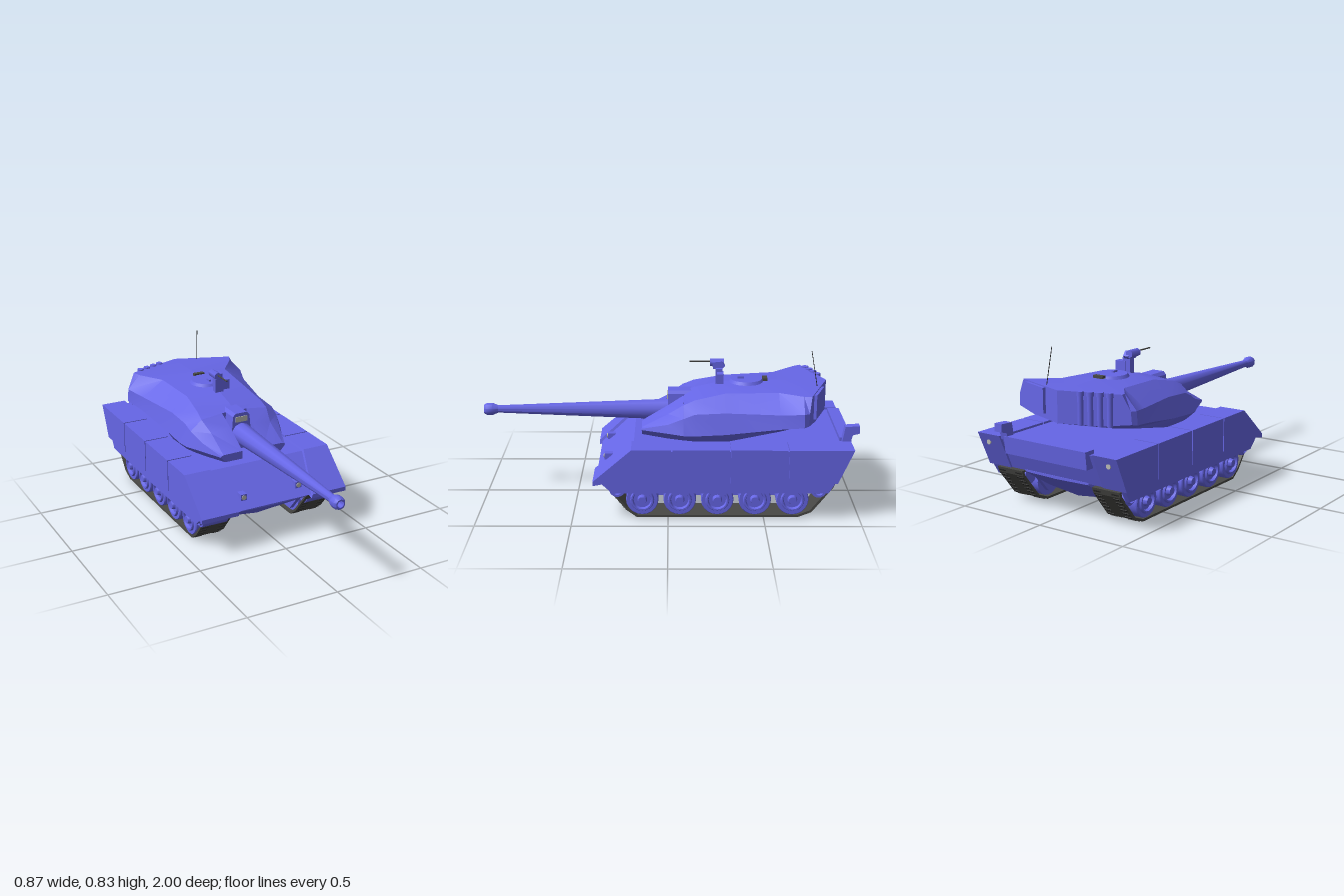
import * as THREE from 'three';
import { toCreasedNormals } from 'three/addons/utils/BufferGeometryUtils.js';

const mat = (color, flat = false) => new THREE.MeshStandardMaterial({ color, flatShading: flat, side: THREE.DoubleSide });
const paint = mat(0x6666e6), dark = mat(0x484845), glass = mat(0xbbbbb5), slot = mat(0x262626);

export function createModel() {
  const model = new THREE.Group();

  const add = (name, geo, material = paint, parent = model) => {
    const mesh = new THREE.Mesh(geo, material);
    mesh.name = name;
    parent.add(mesh);
    return mesh;
  };
  const box = (name, w, h, d, x, y, z, material, parent) => {
    const m = add(name, new THREE.BoxGeometry(w, h, d), material, parent);
    m.position.set(x, y, z);
    return m;
  };
  const shapeOf = (pts, Type = THREE.Shape) => new Type(pts.map(([z, y]) => new THREE.Vector2(-z, y)));

  // side profile of [z, y] points, extruded from x0 to x1
  const slab = (pts, x0, x1, hole) => {
    const shape = shapeOf(pts);
    if (hole) shape.holes.push(shapeOf(hole, THREE.Path));
    const geo = new THREE.ExtrudeGeometry(shape, { depth: x1 - x0, bevelEnabled: false });
    return geo.rotateY(Math.PI / 2).translate(x0, 0, 0);
  };

  // one half (side s) of a body lofted front to back through rings of [x, y, z]
  const halfLoft = (rings, s, crease) => {
    const n = rings[0].length, index = [];
    const tri = (a, b, c) => index.push(...(s > 0 ? [a, b, c] : [a, c, b]));
    for (let i = 0; i < rings.length - 1; i++) {
      for (let j = 0; j < n; j++) {
        const a = i * n + j, b = i * n + (j + 1) % n;
        tri(a, a + n, b);
        tri(b, a + n, b + n);
      }
    }
    const last = (rings.length - 1) * n;
    for (let j = 1; j < n - 1; j++) {
      tri(0, j, j + 1);
      tri(last, last + j + 1, last + j);
    }
    const geo = new THREE.BufferGeometry();
    geo.setAttribute('position', new THREE.Float32BufferAttribute(rings.flat().flatMap(([x, y, z]) => [x * s, y, z]), 3));
    geo.setIndex(index);
    return toCreasedNormals(geo, crease);
  };

  // ---- hull ----
  add('upperHull', slab([[0.375, 0.212], [0.18, 0.38], [-0.935, 0.38], [-0.865, 0.21]], -0.42, 0.42));
  const belly = [[0.37, 0.205, 0.2], [0.18, 0.095, 0.07], [-0.7, 0.095, 0.07], [-0.87, 0.205, 0.2]]
    .map(([z, side, mid]) => [[0, mid, z], [0.2, side, z], [0.2, 0.215, z], [0, 0.215, z]]);

  // sponson armour panels, split by narrow gaps
  const panels = [
    [[0.39, 0.195], [0.39, 0.218], [0.19, 0.391], [-0.015, 0.391], [-0.015, 0.21], [0.32, 0.21]],
    [[-0.023, 0.21], [-0.023, 0.391], [-0.315, 0.391], [-0.315, 0.21]],
    [[-0.323, 0.21], [-0.323, 0.391], [-0.615, 0.391], [-0.615, 0.21]],
    [[-0.623, 0.21], [-0.623, 0.391], [-0.955, 0.391], [-0.875, 0.21]],
  ];
  // track loop: outer and inner outlines
  const outer = [[0.345, 0.2], [0.22, 0.045], [0.165, 0.004], [-0.68, 0.004], [-0.75, 0.032], [-0.86, 0.17], [-0.87, 0.2]];
  const inner = [[0.325, 0.19], [0.212, 0.055], [0.16, 0.016], [-0.677, 0.016], [-0.742, 0.042], [-0.848, 0.175], [-0.852, 0.19]];
  const wheelProfile = [[0, 0.24], [0.085, 0.24], [0.085, 0.38], [0.081, 0.386], [0.063, 0.386], [0.058, 0.396],
    [0.05, 0.396], [0.045, 0.38], [0.026, 0.38], [0.02, 0.402], [0, 0.402]];

  for (const s of [1, -1]) {
    const side = new THREE.Group();
    side.name = s > 0 ? 'leftSide' : 'rightSide';
    model.add(side);
    const across = (pts, a, b, hole) => slab(pts, Math.min(a * s, b * s), Math.max(a * s, b * s), hole);

    add('lowerHull', halfLoft(belly, s, 0.2), paint, side);
    panels.forEach((pts, i) => {
      const geo = across(pts, i ? 0.29 : 0.22, 0.433);
      if (i === 0) { // the front fender's inner edge leans outwards towards the top
        const p = geo.attributes.position;
        for (let k = 0; k < p.count; k++) {
          if (Math.abs(p.getX(k)) < 0.3) p.setX(k, s * (0.22 + (p.getY(k) - 0.2) * 0.33));
        }
        geo.computeVertexNormals();
      }
      add('armourPanel', geo, paint, side);
    });
    add('skirtStrip', across([[0.36, 0.215], [0.29, 0.15], [-0.83, 0.15], [-0.87, 0.215]], 0.392, 0.418), paint, side);
    add('suspensionPlate', across([[0.33, 0.215], [0.2, 0.06], [-0.7, 0.06], [-0.83, 0.215]], 0.196, 0.219), paint, side);

    // track with tread slots
    add('track', across(outer, 0.222, 0.385, inner), dark, side);
    for (let i = 0; i < outer.length - 1; i++) {
      const [z0, y0] = outer[i], [z1, y1] = outer[i + 1];
      const len = Math.hypot(z1 - z0, y1 - y0), count = Math.max(1, Math.round(len / 0.032));
      for (let k = 0; k < count; k++) {
        const t = (k + 0.5) / count;
        for (const x of [0.25, 0.357]) {
          const c = box('treadSlot', 0.04, 0.007, 0.007, s * x, y0 + (y1 - y0) * t, z0 + (z1 - z0) * t, slot, side);
          c.rotation.x = -Math.atan2(y1 - y0, z1 - z0);
        }
      }
    }

    // road wheels, idler and sprocket
    const wheel = (name, z, y, scale) => {
      const pts = wheelProfile.map(([r, x]) => new THREE.Vector2(r * scale, x));
      const geo = toCreasedNormals(new THREE.LatheGeometry(pts, 20).rotateZ(-s * Math.PI / 2), 0.5);
      add(name, geo, paint, side).position.set(0, y, z);
    };
    for (let i = 0; i < 5; i++) wheel('roadWheel', 0.135 - i * 0.196, 0.102, 1);
    wheel('idler', 0.265, 0.157, 0.5);
    wheel('sprocket', -0.785, 0.155, 0.5);

    // lamps
    box('headlightBox', 0.035, 0.035, 0.045, s * 0.165, 0.267, 0.318, paint, side);
    const lamp = new THREE.CylinderGeometry(0.013, 0.013, 0.006, 12).rotateX(Math.PI / 2);
    add('headlight', lamp, glass, side).position.set(s * 0.165, 0.267, 0.342);
    add('tailLight', lamp, glass, side).position.set(s * 0.375, 0.345, -0.938);
  }

  // rear stowage and exhaust
  add('rearBox', slab([[-0.9, 0.31], [-0.9, 0.4], [-0.965, 0.4], [-0.955, 0.31]], -0.26, 0.25));
  add('exhaust', slab([[-0.91, 0.38], [-0.925, 0.465], [-1, 0.47], [-1, 0.428], [-0.965, 0.42], [-0.955, 0.38]], 0.23, 0.275));

  // ---- turret ----
  // z, inner x, bottom y, outline points, roof y, depth of the pointed rear
  const ring = (z, xi, yb, pts, top, v = 0) => [[xi, yb], ...pts, [xi, top]]
    .map(([x, y]) => [x, y, z - v * (1 - x / 0.37)]);
  const cheek = [[0.25, 0.382], [0.293, 0.42], [0.265, 0.505], [0.2, 0.56]];
  const turret = [
    ring(0.14, 0.065, 0.39, [[0.17, 0.39], [0.195, 0.42], [0.193, 0.427], [0.18, 0.432]], 0.434),
    ring(0, 0.068, 0.382, [[0.22, 0.382], [0.255, 0.42], [0.24, 0.465], [0.18, 0.505]], 0.52),
    ring(-0.08, 0.075, 0.382, cheek, 0.575),
    ring(-0.082, 0, 0.382, cheek, 0.575),
    ring(-0.14, 0, 0.38, [[0.262, 0.38], [0.303, 0.422], [0.27, 0.53], [0.195, 0.585]], 0.602),
    ring(-0.3, 0, 0.38, [[0.27, 0.38], [0.303, 0.43], [0.272, 0.538], [0.18, 0.618]], 0.638),
    ring(-0.58, 0, 0.43, [[0.25, 0.43], [0.34, 0.472], [0.325, 0.545], [0.2, 0.628]], 0.642),
    ring(-0.7, 0, 0.455, [[0.24, 0.455], [0.37, 0.49], [0.365, 0.56], [0.295, 0.636]], 0.64),
    ring(-0.72, 0, 0.478, [[0.22, 0.478], [0.355, 0.495], [0.35, 0.56], [0.31, 0.64]], 0.642, 0.13),
  ];
  for (const s of [1, -1]) add('turretHalf', halfLoft(turret, s, 0.45));

  // mantlet and gun sight
  const mantlet = new THREE.Shape([[-0.067, 0.385], [0.067, 0.385], [0.05, 0.575], [0.035, 0.592], [-0.035, 0.592], [-0.05, 0.575]]
    .map(([x, y]) => new THREE.Vector2(x, y)));
  add('mantlet', new THREE.ExtrudeGeometry(mantlet, { depth: 0.18, bevelEnabled: false }).translate(0, 0, -0.178));
  box('sightWindow', 0.07, 0.03, 0.006, 0, 0.557, 0.003, glass);

  // gun barrel with flared muzzle
  const barrel = [[0, -0.05], [0.06, -0.05], [0.058, 0.02], [0.021, 0.925], [0.034, 0.955], [0.034, 0.985], [0.026, 1],
    [0.018, 1], [0.016, 0.96], [0, 0.96]].map(([r, z]) => new THREE.Vector2(r, z));
  add('gunBarrel', toCreasedNormals(new THREE.LatheGeometry(barrel, 10).rotateX(Math.PI / 2), 0.7)).position.y = 0.475;

  // commander's hatch
  add('hatch', new THREE.CylinderGeometry(0.085, 0.095, 0.016, 24)).position.set(0, 0.643, -0.42);
  box('hatchHinge', 0.06, 0.014, 0.025, 0, 0.65, -0.52, dark);
  box('hatchHandle', 0.012, 0.012, 0.035, 0, 0.655, -0.39);

  // roof machine gun
  box('gunPost', 0.05, 0.085, 0.035, 0, 0.667, -0.272);
  add('gunCradle', slab([[-0.24, 0.705], [-0.235, 0.74], [-0.285, 0.745], [-0.305, 0.72], [-0.285, 0.7]], -0.025, 0.01));
  box('ammoBox', 0.06, 0.055, 0.035, 0.035, 0.663, -0.278);
  const receiver = new THREE.CylinderGeometry(0.022, 0.022, 0.075, 6).rotateX(Math.PI / 2);
  add('receiver', receiver).position.set(-0.025, 0.732, -0.262);
  const thinBarrel = new THREE.CylinderGeometry(0.004, 0.004, 0.115, 8).rotateX(Math.PI / 2);
  add('machineGunBarrel', thinBarrel, dark).position.set(-0.025, 0.738, -0.172);

  // smoke launchers and locker on the turret rear
  const rearZ = x => -0.72 - 0.13 * (1 - Math.abs(x) / 0.37);
  for (let i = 0; i < 4; i++) {
    const x = -0.115 - i * 0.047;
    add('smokeTube', new THREE.CylinderGeometry(0.015, 0.015, 0.155, 10)).position.set(x, 0.556, rearZ(x) - 0.006);
    add('smokeCap', new THREE.CylinderGeometry(0.019, 0.019, 0.022, 10)).position.set(x, 0.636, rearZ(x) - 0.006);
  }
  box('turretLocker', 0.17, 0.13, 0.03, 0.185, 0.57, rearZ(0.185)).rotation.y = -0.335;

  // antenna
  const mast = new THREE.LineCurve3(new THREE.Vector3(0.118, 0.63, -0.79), new THREE.Vector3(0.107, 0.83, -0.755));
  add('antenna', new THREE.TubeGeometry(mast, 1, 0.002, 6), slot);

  return model;
}
